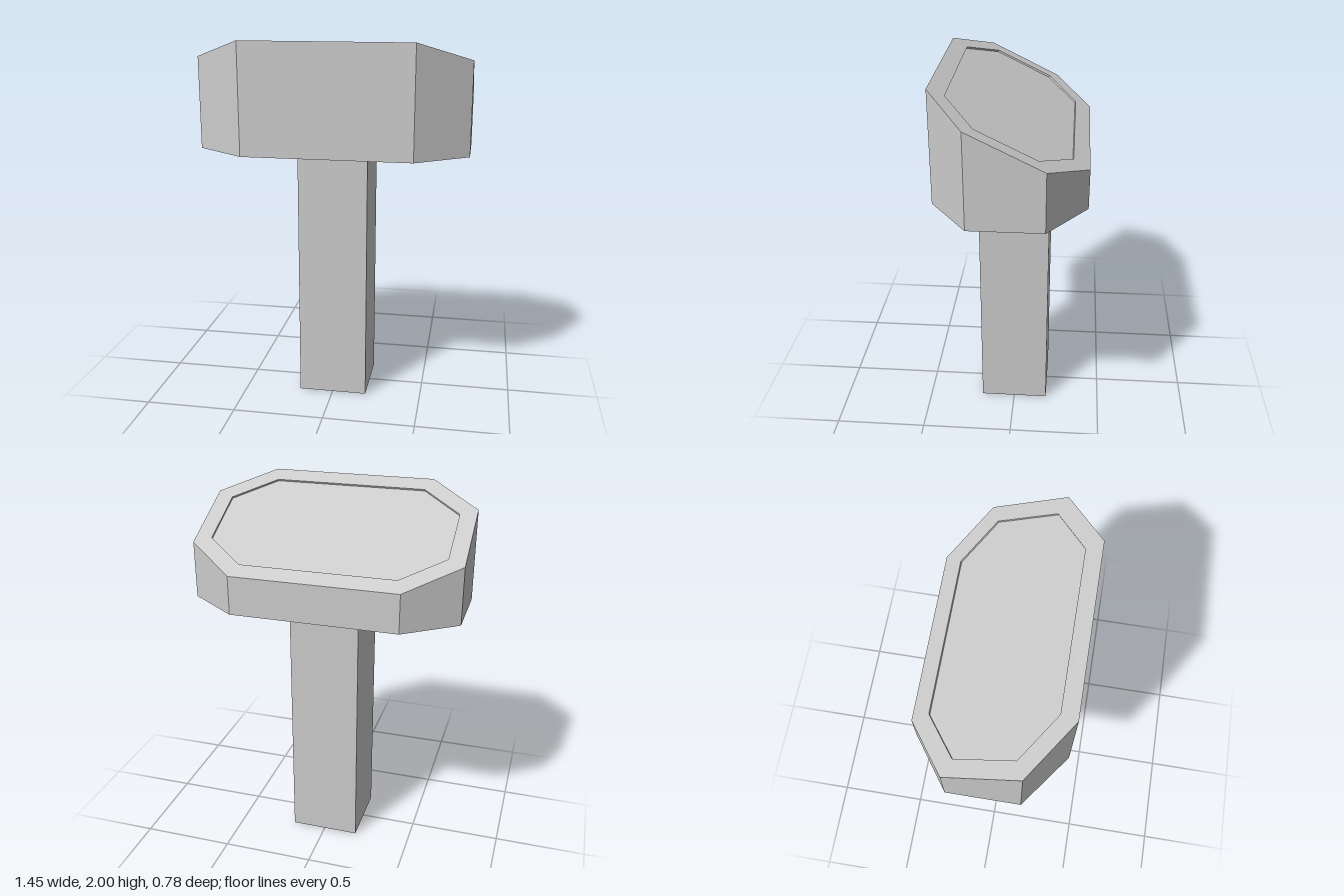
import * as THREE from 'three';

const BASE_Y = 1.408;
const SLOPE = 0.49;
const RECESS = 0.01;
const topY = (z) => 2 - SLOPE * (0.39 - z);

// Rectangle with cut corners: half sizes x, z and the half lengths of the straight sides
function octagon(x, z, sideX, sideZ) {
  return [
    [x, -sideZ], [x, sideZ], [sideX, z], [-sideX, z],
    [-x, sideZ], [-x, -sideZ], [-sideX, -z], [sideX, -z],
  ];
}

// Closed skin through a list of rings, the first and last collapsed to a point
function skinRings(rings) {
  const positions = [];
  const addTriangle = (...corners) => corners.forEach((p) => positions.push(p.x, p.y, p.z));
  for (let r = 0; r < rings.length - 1; r++) {
    const a = rings[r], b = rings[r + 1];
    for (let i = 0; i < a.length; i++) {
      const j = (i + 1) % a.length;
      if (r < rings.length - 2) addTriangle(a[i], b[i], b[j]);
      if (r > 0) addTriangle(a[i], b[j], a[j]);
    }
  }
  const geometry = new THREE.BufferGeometry();
  geometry.setAttribute('position', new THREE.Float32BufferAttribute(positions, 3));
  geometry.computeVertexNormals();
  return geometry;
}

export function createModel() {
  const group = new THREE.Group();
  group.name = 'pedestalConsole';
  const material = new THREE.MeshStandardMaterial({ color: 0xcccccc, flatShading: true });

  // Square post
  const post = new THREE.Mesh(new THREE.BoxGeometry(0.38, BASE_Y, 0.38), material);
  post.name = 'post';
  post.position.y = BASE_Y / 2;
  group.add(post);

  // Sloped head: flat underside, upright walls, slanted rim and a shallow recessed panel
  const outer = octagon(0.725, 0.39, 0.45, 0.19);
  const inner = octagon(0.635, 0.308, 0.417, 0.15);
  const down = new THREE.Vector3(0, -1, SLOPE).normalize().multiplyScalar(RECESS);
  const rimInner = inner.map(([x, z]) => new THREE.Vector3(x, topY(z), z));
  const panel = rimInner.map((p) => p.clone().add(down));
  const head = new THREE.Mesh(skinRings([
    outer.map(() => new THREE.Vector3(0, BASE_Y, 0)),
    outer.map(([x, z]) => new THREE.Vector3(x, BASE_Y, z)),
    outer.map(([x, z]) => new THREE.Vector3(x, topY(z), z)),
    rimInner,
    panel,
    panel.map(() => new THREE.Vector3(0, topY(0), 0).add(down)),
  ]), material);
  head.name = 'slopedHead';
  group.add(head);

  return group;
}
